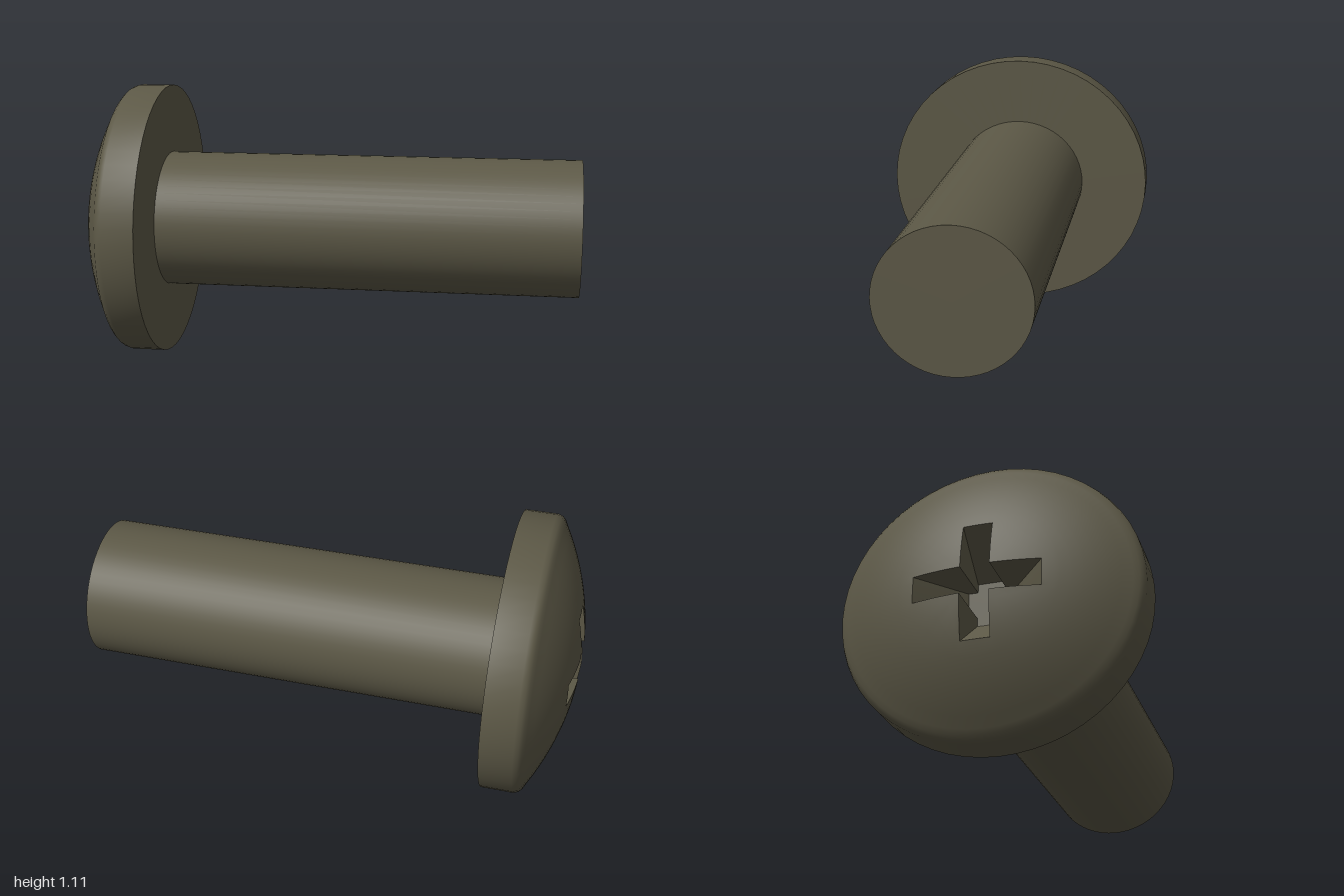
import * as THREE from 'three';
import { toCreasedNormals } from 'three/addons/utils/BufferGeometryUtils.js';

const AXIS_Y = 0.555, SQUASH = 0.957; // axis height; section is slightly flattened in y
const HEAD_R = 0.58, SHANK_R = 0.29, DOME_R = 1.11, SLOT_W = 0.055, SLOT_L = 0.24;
const N = 56;

const domeX = (r) => -1 + DOME_R - Math.sqrt(DOME_R * DOME_R - r * r);

// Cross outline: 4 points on the arm end, 5 down each arm side, turned four times
function cross(len) {
  const w = SLOT_W, quarter = [], pts = [];
  for (let i = 0; i < 4; i++) quarter.push([len, -w + (2 * w * i) / 4]);
  for (let i = 0; i < 5; i++) quarter.push([len + ((w - len) * i) / 5, w]);
  for (let i = 0; i < 5; i++) quarter.push([w, w + ((len - w) * i) / 5]);
  for (let q = 0; q < 4; q++) {
    for (const [a, b] of quarter) {
      pts.push([[a, b], [-b, a], [-a, -b], [b, -a]][q]);
    }
  }
  return pts;
}

// Circle whose points line up with those of the cross
function circle(r) {
  const start = -Math.atan(SLOT_W / SLOT_L);
  return Array.from({ length: N }, (_, k) => {
    const t = start + (k / N) * Math.PI * 2;
    return [r * Math.cos(t), r * Math.sin(t)];
  });
}

// Skin a list of closed rings of [x, y, z] points
function loft(rings) {
  const pos = [], index = [];
  rings.forEach((ring) => ring.forEach((p) => pos.push(...p)));
  for (let i = 0; i < rings.length - 1; i++) {
    for (let k = 0; k < N; k++) {
      const a = i * N + k, b = i * N + ((k + 1) % N);
      index.push(a, a + N, b + N, a, b + N, b);
    }
  }
  const g = new THREE.BufferGeometry();
  g.setAttribute('position', new THREE.Float32BufferAttribute(pos, 3));
  g.setIndex(index);
  return toCreasedNormals(g, Math.PI / 6);
}

function headGeometry() {
  const rings = [];
  const add = (pts, xOf) => rings.push(pts.map(([a, b]) => [xOf(Math.hypot(a, b)), b, a]));

  // recess floor and tapering walls
  const floor = cross(0.09), mouth = cross(SLOT_L), inner = circle(0.3);
  add(floor.map(() => [0, 0]), () => -0.8);
  add(floor, () => -0.8);

  // dome, from the recess mouth out to a circle and on to the rim
  for (let i = 0; i <= 4; i++) {
    add(mouth.map((m, k) => m.map((v, c) => v + ((inner[k][c] - v) * i) / 4)), domeX);
  }
  for (let i = 1; i <= 6; i++) add(circle(0.3 + 0.04 * i), domeX);

  // rounded rim, side and flat back
  for (const [x, r] of [[-0.85, 0.56], [-0.838, 0.573], [-0.82, HEAD_R], [-0.69, HEAD_R], [-0.69, 0.2]]) {
    add(circle(r), () => x);
  }
  return loft(rings);
}

export function createModel() {
  const material = new THREE.MeshStandardMaterial({ color: 0x5c5846 });
  const model = new THREE.Group();
  model.name = 'screw';

  const head = new THREE.Mesh(headGeometry(), material);
  head.name = 'head';

  // plain shank, its start sunk into the head
  const shankGeometry = new THREE.CylinderGeometry(SHANK_R, SHANK_R, 1.72, N);
  shankGeometry.rotateZ(-Math.PI / 2).translate(0.14, 0, 0);
  const shank = new THREE.Mesh(shankGeometry, material);
  shank.name = 'shank';

  for (const part of [head, shank]) {
    part.scale.y = SQUASH;
    part.position.y = AXIS_Y;
    model.add(part);
  }
  return model;
}
